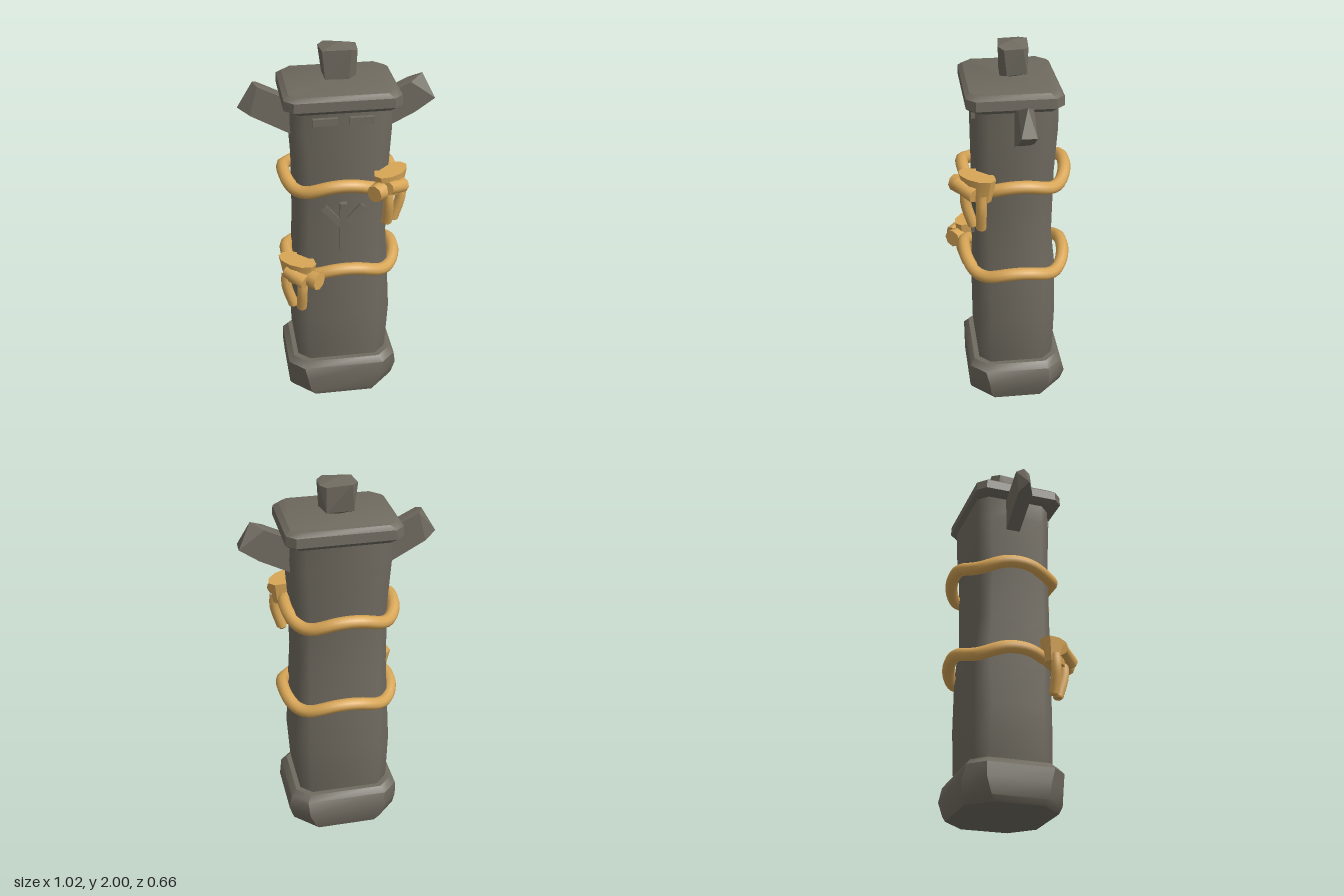
import * as THREE from 'three';
import { toCreasedNormals } from 'three/addons/utils/BufferGeometryUtils.js';
import { ConvexGeometry } from 'three/addons/geometries/ConvexGeometry.js';

const V = (x, y, z) => new THREE.Vector3(x, y, z);

// Stack of rectangles with cut corners: each section is [y, x0, x1, z0, z1, cut]
function loftBlock(sections, crease) {
  const pos = [], idx = [], n = 8;
  for (const [y, x0, x1, z0, z1, c] of sections) {
    const ring = [
      [x1, z0 + c], [x1, z1 - c], [x1 - c, z1], [x0 + c, z1],
      [x0, z1 - c], [x0, z0 + c], [x0 + c, z0], [x1 - c, z0],
    ];
    for (const [x, z] of ring) pos.push(x, y, z);
  }
  const last = (sections.length - 1) * n;
  for (let s = 0; s < last; s += n) {
    for (let i = 0; i < n; i++) {
      const a = s + i, b = s + (i + 1) % n;
      idx.push(a, a + n, b, b, a + n, b + n);
    }
  }
  for (let i = 1; i < n - 1; i++) idx.push(0, i, i + 1, last, last + i + 1, last + i);
  const g = new THREE.BufferGeometry();
  g.setAttribute('position', new THREE.Float32BufferAttribute(pos, 3));
  g.setIndex(idx);
  return toCreasedNormals(g, crease);
}

export function createModel() {
  const model = new THREE.Group();
  const stone = new THREE.MeshStandardMaterial({ color: 0x706b60 });
  stone.name = 'stone';
  const rope = new THREE.MeshStandardMaterial({ color: 0xd8a657 });
  rope.name = 'rope';

  const add = (name, geometry, material, parent = model) => {
    const mesh = new THREE.Mesh(geometry, material);
    mesh.name = name;
    parent.add(mesh);
    return mesh;
  };

  // Stone column, foot and cap slab
  add('base', loftBlock([
    [0, -0.28, 0.28, -0.255, 0.24, 0.12],
    [0.03, -0.295, 0.29, -0.265, 0.25, 0.11],
    [0.11, -0.302, 0.313, -0.28, 0.25, 0.1],
    [0.19, -0.3, 0.3, -0.26, 0.25, 0.08],
    [0.222, -0.27, 0.27, -0.235, 0.225, 0.07],
  ], 0.7), stone);
  add('column', loftBlock([
    [0.2, -0.24, 0.24, -0.205, 0.195, 0.06],
    [0.26, -0.25, 0.25, -0.212, 0.2, 0.06],
    [0.5, -0.26, 0.267, -0.218, 0.202, 0.07],
    [0.8, -0.242, 0.25, -0.215, 0.2, 0.06],
    [1.0, -0.235, 0.236, -0.193, 0.198, 0.05],
    [1.35, -0.235, 0.245, -0.2, 0.198, 0.06],
    [1.6, -0.25, 0.26, -0.215, 0.2, 0.06],
    [1.74, -0.24, 0.25, -0.215, 0.195, 0.05],
  ], 0.9), stone);
  add('capSlab', loftBlock([
    [1.72, -0.27, 0.28, -0.22, 0.23, 0.05],
    [1.74, -0.297, 0.298, -0.238, 0.25, 0.045],
    [1.79, -0.295, 0.295, -0.235, 0.25, 0.045],
    [1.812, -0.27, 0.27, -0.215, 0.23, 0.05],
  ], 0.6), stone);

  // Rough stone on top
  add('topStone', new ConvexGeometry([
    V(-0.095, 1.98, -0.05), V(-0.06, 1.985, -0.09), V(0.07, 1.975, -0.08), V(0.1, 1.98, -0.05),
    V(0.095, 1.975, 0.045), V(0.06, 1.985, 0.072), V(-0.085, 1.98, 0.055), V(0, 2, -0.01),
    V(-0.075, 1.835, -0.06), V(0.07, 1.84, -0.075), V(0.09, 1.84, 0.03), V(0.05, 1.83, 0.062),
    V(-0.07, 1.83, 0.055), V(0, 1.805, -0.01),
  ]), stone);

  // Slanted side blocks, each with its own chipped end
  const front = 0.012, back = -0.065, mid = -0.027;
  const arm = (name, side, end) => {
    const points = end.map(([x, y, z]) => V(side * x, y, z));
    for (const z of [front, back]) {
      points.push(V(side * 0.2, 1.51, z), V(side * 0.2, 1.69, z), V(side * 0.25, 1.53, z));
    }
    add(name, new ConvexGeometry(points), stone);
  };
  arm('rightArm', -1, [
    [0.43, 1.81, mid], [0.41, 1.795, front], [0.41, 1.795, back],
    [0.512, 1.675, mid], [0.45, 1.64, front], [0.45, 1.64, back],
  ]);
  arm('leftArm', 1, [
    [0.445, 1.81, mid], [0.38, 1.775, front], [0.38, 1.775, back],
    [0.51, 1.68, front], [0.51, 1.68, back], [0.41, 1.61, front], [0.41, 1.61, back],
  ]);

  // Raised slit eyes and branching mark on the front
  for (const side of [1, -1]) {
    add(side > 0 ? 'leftEye' : 'rightEye', new THREE.BoxGeometry(0.125, 0.038, 0.03), stone)
      .position.set(side * 0.093, 1.668, 0.203);
    const branch = add('markBranch', new THREE.BoxGeometry(0.034, 0.17, 0.03), stone);
    branch.position.set(side * 0.047, 1.125, 0.203);
    branch.rotation.z = -side * 0.72;
  }
  const stem = add('markStem', new THREE.BoxGeometry(0.038, 0.28, 0.03), stone);
  stem.position.set(0, 1.07, 0.205);
  stem.rotation.x = 0.04;

  // Wavy rope loop with a knot on one front corner
  const ropeLoop = (name, y, side, centreX, rx) => {
    const group = new THREE.Group();
    group.name = name;
    model.add(group);
    const points = [];
    const soft = v => Math.sign(v) * Math.abs(v) ** 0.85;
    for (let i = 0; i < 32; i++) {
      const t = i / 32 * Math.PI * 2;
      points.push(V(
        centreX + rx * soft(Math.cos(t)),
        y + 0.022 * Math.cos(4 * t) - 0.008 * Math.cos(2 * t),
        -0.012 + 0.268 * soft(Math.sin(t))));
    }
    const path = new THREE.CatmullRomCurve3(points, true);
    add('ropeRing', new THREE.TubeGeometry(path, 64, 0.034, 10, true), rope, group);

    // Knot, facing outward along the corner diagonal
    const knot = new THREE.Group();
    knot.name = 'knot';
    knot.position.set(side * 0.245, y + 0.015, 0.2);
    knot.rotation.y = side * 0.75;
    group.add(knot);
    const wrap = new THREE.CylinderGeometry(0.115, 0.085, 0.125, 10);
    wrap.scale(1, 1, 0.58);
    add('knotWrap', toCreasedNormals(wrap, 0.8), rope, knot);
    const collar = new THREE.CylinderGeometry(0.045, 0.05, 0.06, 8);
    collar.rotateZ(Math.PI / 2);
    add('knotCollar', toCreasedNormals(collar, 0.9), rope, knot)
      .position.set(-side * 0.12, -0.015, 0.01);
    const fold = new THREE.CylinderGeometry(0.034, 0.04, 0.13, 8);
    fold.rotateZ(Math.PI / 2 - 0.2);
    add('knotFold', toCreasedNormals(fold, 0.9), rope, knot).position.set(-side * 0.03, -0.005, 0.055);

    // Two hanging rope ends
    for (const s of [1, -1]) {
      const tail = new THREE.CatmullRomCurve3([
        V(s * 0.055, -0.02, 0.025), V(s * 0.053, -0.1, 0.03), V(s * 0.028, -0.225, 0.005),
      ]);
      add('ropeEnd', new THREE.TubeGeometry(tail, 8, 0.028, 8), rope, knot);
      const tip = add('ropeEndTip', new THREE.CylinderGeometry(0.028, 0.022, 0.012, 8), rope, knot);
      tip.position.set(s * 0.027, -0.228, 0.004);
      tip.rotation.z = -s * 0.2;
    }
  };
  ropeLoop('upperRope', 1.3, 1, -0.005, 0.283);
  ropeLoop('lowerRope', 0.805, -1, 0.01, 0.293);

  return model;
}
